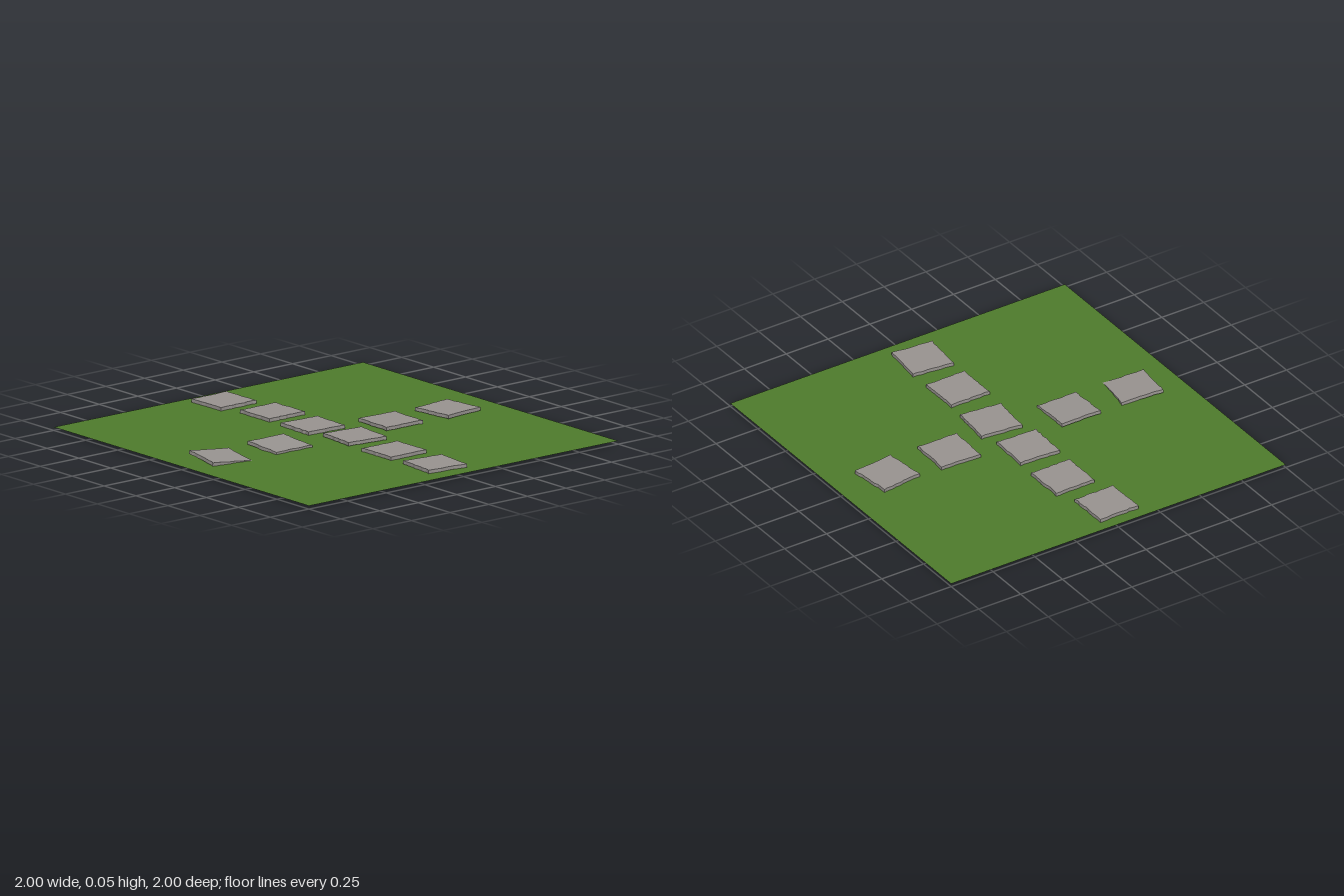
import * as THREE from 'three';

const THICK = 0.018, HALF = 0.116, STEPS = 9;

// Small seeded random generator for the chipped edges
function seeded(seed) {
  let s = seed;
  return () => (s = (s * 16807) % 2147483647) / 2147483647;
}

// Square stone slab with slightly chipped sides, centred on its own origin
function slabGeometry(seed) {
  const rand = seeded(seed), pts = [];
  for (let side = 0; side < 4; side++) {
    const a = side * Math.PI / 2, c = Math.cos(a), s = Math.sin(a);
    for (let i = 0; i < STEPS; i++) {
      const u = -HALF + 2 * HALF * (i + (i ? (rand() - 0.5) * 0.6 : 0)) / STEPS;
      const v = -HALF + (i ? rand() * 0.007 : 0.002);
      pts.push(new THREE.Vector2(u * c - v * s, u * s + v * c));
    }
  }
  const geo = new THREE.ExtrudeGeometry(new THREE.Shape(pts), { depth: THICK, bevelEnabled: false });
  geo.translate(0, 0, -THICK / 2);
  geo.rotateX(-Math.PI / 2);
  return geo;
}

export function createModel() {
  const model = new THREE.Group();
  model.name = 'steppingStonePath';

  const grass = new THREE.MeshStandardMaterial({ color: 0x4f7c2c, side: THREE.DoubleSide });
  grass.name = 'grass green';
  const stone = new THREE.MeshStandardMaterial({ color: 0x999491 });
  stone.name = 'stone grey';

  // Flat lawn
  const lawn = new THREE.Mesh(new THREE.PlaneGeometry(2, 2).rotateX(-Math.PI / 2), grass);
  lawn.name = 'lawn';
  lawn.position.y = 0.018;
  model.add(lawn);

  // Slabs: x, y, z, turn in degrees, tilt about x, tilt about z
  const slabs = [
    [-0.823, 0.028, 0.046, 1, 0, 0],
    [-0.5, 0.028, -0.003, 0.5, 0, 0],
    [-0.172, 0.028, 0.008, -2, 0, 0],
    [0.13, 0.03, -0.014, -5.5, 0, 0],
    [0.468, 0.029, 0.01, 0.5, 0, 0],
    [0.8, 0.029, 0.019, -5.5, 0, 0],
    [0.01, 0.03, -0.714, 7, 0, 0],
    [0.01, 0.03, -0.345, -1.5, 0, 0],
    [0.01, 0.027, 0.371, 0, 0, -0.055],
    [0.005, 0.026, 0.75, -8, -0.07, -0.07],
  ];
  slabs.forEach(([x, y, z, turn, tiltX, tiltZ], i) => {
    const slab = new THREE.Mesh(slabGeometry(101 + i * 7919), stone);
    slab.name = `stoneSlab${i + 1}`;
    slab.position.set(x, y, z);
    slab.rotation.set(tiltX, THREE.MathUtils.degToRad(turn), tiltZ, 'XZY');
    model.add(slab);
  });
  return model;
}
